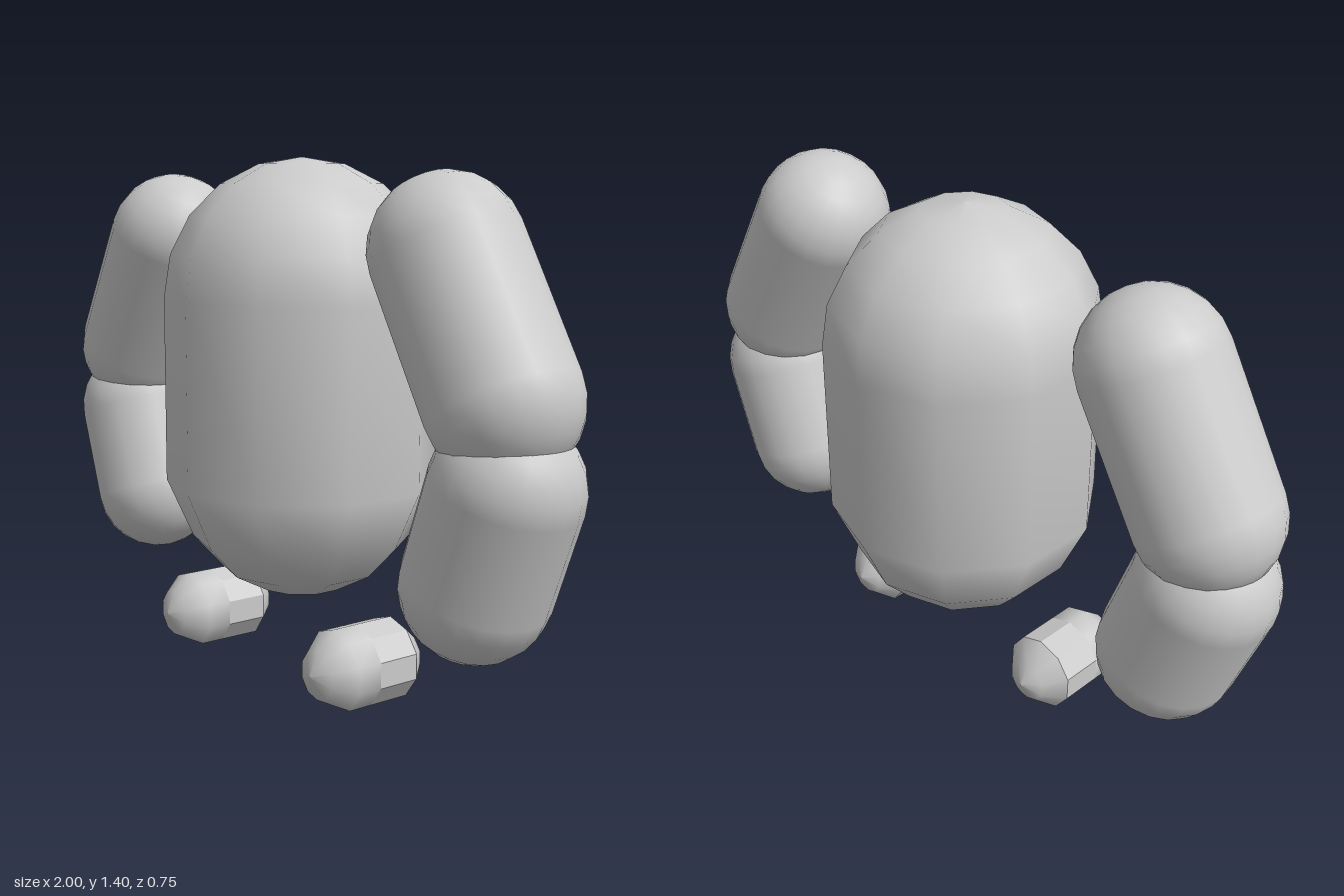
import * as THREE from 'three';

const smooth = new THREE.MeshStandardMaterial({ color: 0xcccccc });
const faceted = new THREE.MeshStandardMaterial({ color: 0xcccccc, flatShading: true });

function lathe(points, sides) {
  return new THREE.LatheGeometry(points.map(([r, y]) => new THREE.Vector2(r, y)), sides);
}

function addMesh(parent, name, geometry, material = smooth) {
  const mesh = new THREE.Mesh(geometry, material);
  mesh.name = name;
  parent.add(mesh);
  return mesh;
}

// Capsule whose two cap centres lie at a and b
function limb(parent, name, a, b, radius) {
  const dir = new THREE.Vector3().subVectors(b, a);
  const mesh = addMesh(parent, name, new THREE.CapsuleGeometry(radius, dir.length(), 6, 20));
  mesh.position.addVectors(a, b).multiplyScalar(0.5);
  mesh.quaternion.setFromUnitVectors(new THREE.Vector3(0, 1, 0), dir.normalize());
}

// Lathe laid along z, with its underside pressed flat on the ground
function footPart(points) {
  const geometry = lathe(points, 10);
  geometry.rotateX(Math.PI / 2);
  geometry.translate(0, 0.09, 0);
  const p = geometry.attributes.position;
  for (let i = 0; i < p.count; i++) p.setY(i, Math.max(p.getY(i), 0));
  geometry.computeVertexNormals();
  return geometry;
}

export function createModel() {
  const model = new THREE.Group();
  model.name = 'figure';

  // Ten-sided body: slightly tapered lower cap, rounded upper cap
  const body = [[0, 0.2], [0.116, 0.218], [0.22, 0.272], [0.303, 0.36], [0.375, 0.52]];
  for (let i = 0; i <= 5; i++) {
    const t = (i / 5) * Math.PI / 2;
    body.push([i === 5 ? 0 : 0.375 * Math.cos(t), 1.025 + 0.375 * Math.sin(t)]);
  }
  addMesh(model, 'body', lathe(body, 10));

  for (const [side, s] of [['left', 1], ['right', -1]]) {
    // Bent arm made of two overlapping capsules
    const arm = new THREE.Group();
    arm.name = side + 'Arm';
    const at = (x, y) => new THREE.Vector3(s * x, y, 0.028);
    limb(arm, 'upperArm', at(0.6, 1.17), at(0.797, 0.83), 0.191);
    limb(arm, 'forearm', at(0.812, 0.63), at(0.721, 0.38), 0.188);
    model.add(arm);

    // Small foot: smooth toe and heel, faceted middle
    const foot = new THREE.Group();
    foot.name = side + 'Foot';
    foot.position.x = s * 0.34;
    addMesh(foot, 'heel', footPart([[0, -0.115], [0.06, -0.09], [0.11, -0.035]]));
    addMesh(foot, 'instep', footPart([[0.11, -0.035], [0.11, 0.085]]), faceted);
    addMesh(foot, 'toe', footPart([[0.11, 0.085], [0.11, 0.155], [0.065, 0.212], [0, 0.235]]));
    model.add(foot);
  }
  return model;
}
